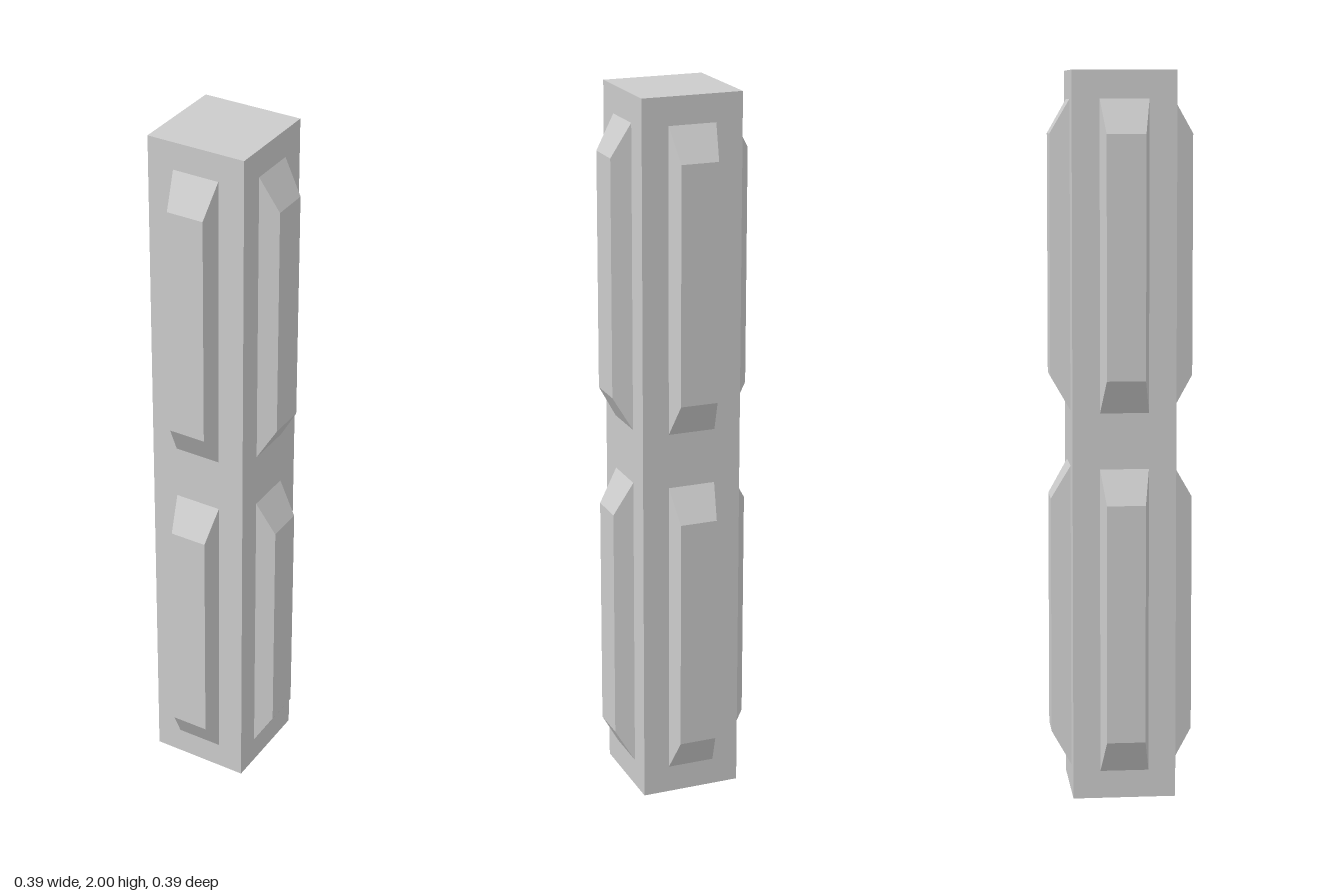
import * as THREE from 'three';

const HALF = 0.142;    // half width of the square post
const DEPTH = 0.054;   // how far each panel stands out

// Raised panel with four bevelled sides, base on z = 0 and face on z = DEPTH
function panelGeometry() {
  const box = new THREE.BoxGeometry(0.134, 0.846, DEPTH);
  box.translate(0, 0, DEPTH / 2);
  // shrink the outer face to form the bevels
  const p = box.attributes.position;
  for (let i = 0; i < p.count; i++) {
    if (p.getZ(i) > DEPTH / 2) {
      p.setX(i, Math.sign(p.getX(i)) * 0.053);
      p.setY(i, Math.sign(p.getY(i)) * 0.33);
    }
  }
  // leave off the hidden back (last face of the box)
  box.setIndex(Array.from(box.index.array).slice(0, 30));
  const geometry = box.toNonIndexed();
  geometry.computeVertexNormals();
  return geometry;
}

export function createModel() {
  const model = new THREE.Group();
  model.name = 'panelledPillar';
  const material = new THREE.MeshStandardMaterial({ color: 0xcccccc, flatShading: true });

  // Square post
  const post = new THREE.Mesh(new THREE.BoxGeometry(HALF * 2, 2, HALF * 2), material);
  post.name = 'post';
  post.position.y = 1;
  model.add(post);

  // Lower and upper panel on each of the four sides
  const geometry = panelGeometry();
  ['front', 'left', 'back', 'right'].forEach((side, i) => {
    const group = new THREE.Group();
    group.name = side + 'Panels';
    group.rotation.y = i * Math.PI / 2;
    for (const [name, y] of [['lowerPanel', 0.5], ['upperPanel', 1.5]]) {
      const panel = new THREE.Mesh(geometry, material);
      panel.name = name;
      panel.position.set(0, y, HALF);
      group.add(panel);
    }
    model.add(group);
  });

  return model;
}
